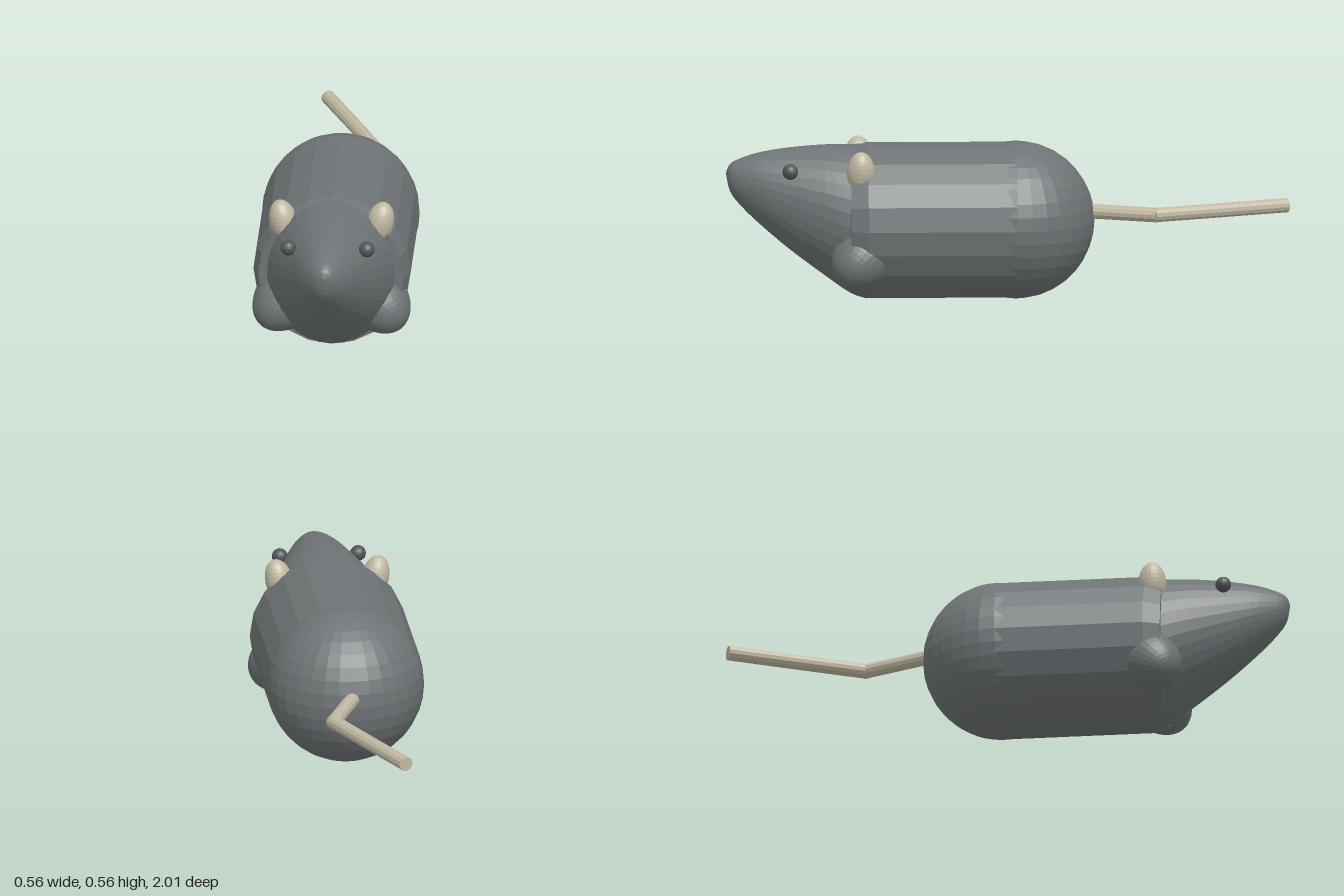
import * as THREE from 'three';

const paint = (color) => new THREE.MeshStandardMaterial({ color, flatShading: true, side: THREE.DoubleSide });
const fur = paint(0x6e7375), skin = paint(0xc0b8a2), dark = paint(0x505658);
const UP = new THREE.Vector3(0, 1, 0);

function add(group, name, geometry, material, x = 0, y = 0, z = 0) {
  const mesh = new THREE.Mesh(geometry, material);
  mesh.name = name;
  mesh.position.set(x, y, z);
  group.add(mesh);
  return mesh;
}

// Elliptical rings lofted from the neck to a raised nose tip.
// Each section: z, bottom, top, half width.
function headGeometry() {
  const sections = [
    [0.5, -0.0, 0.555, 0.238], [0.56, 0.022, 0.552, 0.228], [0.65, 0.085, 0.552, 0.2],
    [0.77, 0.175, 0.543, 0.153], [0.87, 0.26, 0.528, 0.11], [0.94, 0.327, 0.508, 0.072],
    [0.985, 0.385, 0.485, 0.038], [1, 0.452, 0.452, 0],
  ];
  const low = new THREE.CatmullRomCurve3(sections.map((s) => new THREE.Vector3(0, s[1], s[0])), false, 'catmullrom');
  const high = new THREE.CatmullRomCurve3(sections.map((s) => new THREE.Vector3(s[3], s[2], s[0])), false, 'catmullrom');
  const rings = 21, sides = 32, pos = [], index = [];
  for (let i = 0; i <= rings; i++) {
    const a = low.getPoint(i / rings), b = high.getPoint(i / rings);
    for (let j = 0; j < sides; j++) {
      const t = (j / sides) * Math.PI * 2;
      pos.push(b.x * Math.cos(t), (a.y + b.y) / 2 + ((b.y - a.y) / 2) * Math.sin(t), a.z);
      if (i === rings) continue;
      const k = i * sides + j, n = i * sides + ((j + 1) % sides);
      index.push(k, n, n + sides, k, n + sides, k + sides);
    }
  }
  const g = new THREE.BufferGeometry();
  g.setAttribute('position', new THREE.Float32BufferAttribute(pos, 3));
  g.setIndex(index);
  g.computeVertexNormals();
  return g;
}

export function createModel() {
  const model = new THREE.Group();
  model.name = 'mouse';

  // Body barrel with a bevelled front, and a round rump
  const profile = [[0, -0.03], [0.28, -0.03], [0.28, 0.5], [0.26, 0.56], [0, 0.56]];
  const barrel = new THREE.LatheGeometry(profile.map((p) => new THREE.Vector2(...p)), 20);
  add(model, 'body', barrel.rotateX(Math.PI / 2), fur, 0, 0.28, 0);
  add(model, 'rump', new THREE.SphereGeometry(0.28, 32, 18), fur, 0, 0.28, -0.03);

  add(model, 'head', headGeometry(), fur);

  // Paired eyes, ears and front feet
  for (const [side, s] of [['left', 1], ['right', -1]]) {
    add(model, `${side}Eye`, new THREE.SphereGeometry(0.028, 20, 14), dark, s * 0.14, 0.478, 0.775);

    const ear = add(model, `${side}Ear`, new THREE.SphereGeometry(1, 24, 16), skin, s * 0.172, 0.476, 0.525);
    ear.scale.set(0.049, 0.08, 0.05);
    ear.rotation.z = -s * 0.22;

    const dome = new THREE.SphereGeometry(1, 28, 12, 0, Math.PI * 2, 0, Math.PI / 2);
    const foot = add(model, `${side}Foot`, dome, fur, s * 0.142, 0.193, 0.495);
    foot.scale.set(0.115, 0.17, 0.115);
    foot.quaternion.setFromUnitVectors(UP, new THREE.Vector3(s * 0.63, -0.52, 0.57).normalize());
  }

  // Bent tail made of three straight rods
  const joints = [[0, -0.28], [0.1, -0.525], [0, -0.76], [-0.1, -0.99]];
  for (let i = 0; i < 3; i++) {
    const a = new THREE.Vector3(joints[i][0], 0.31, joints[i][1]);
    const b = new THREE.Vector3(joints[i + 1][0], 0.31, joints[i + 1][1]);
    const dir = b.clone().sub(a);
    const rod = add(model, `tailSegment${i + 1}`, new THREE.CylinderGeometry(0.026, 0.026, dir.length() + 0.015, 12), skin);
    rod.position.copy(a).add(b).multiplyScalar(0.5);
    rod.quaternion.setFromUnitVectors(UP, dir.normalize());
  }
  return model;
}
